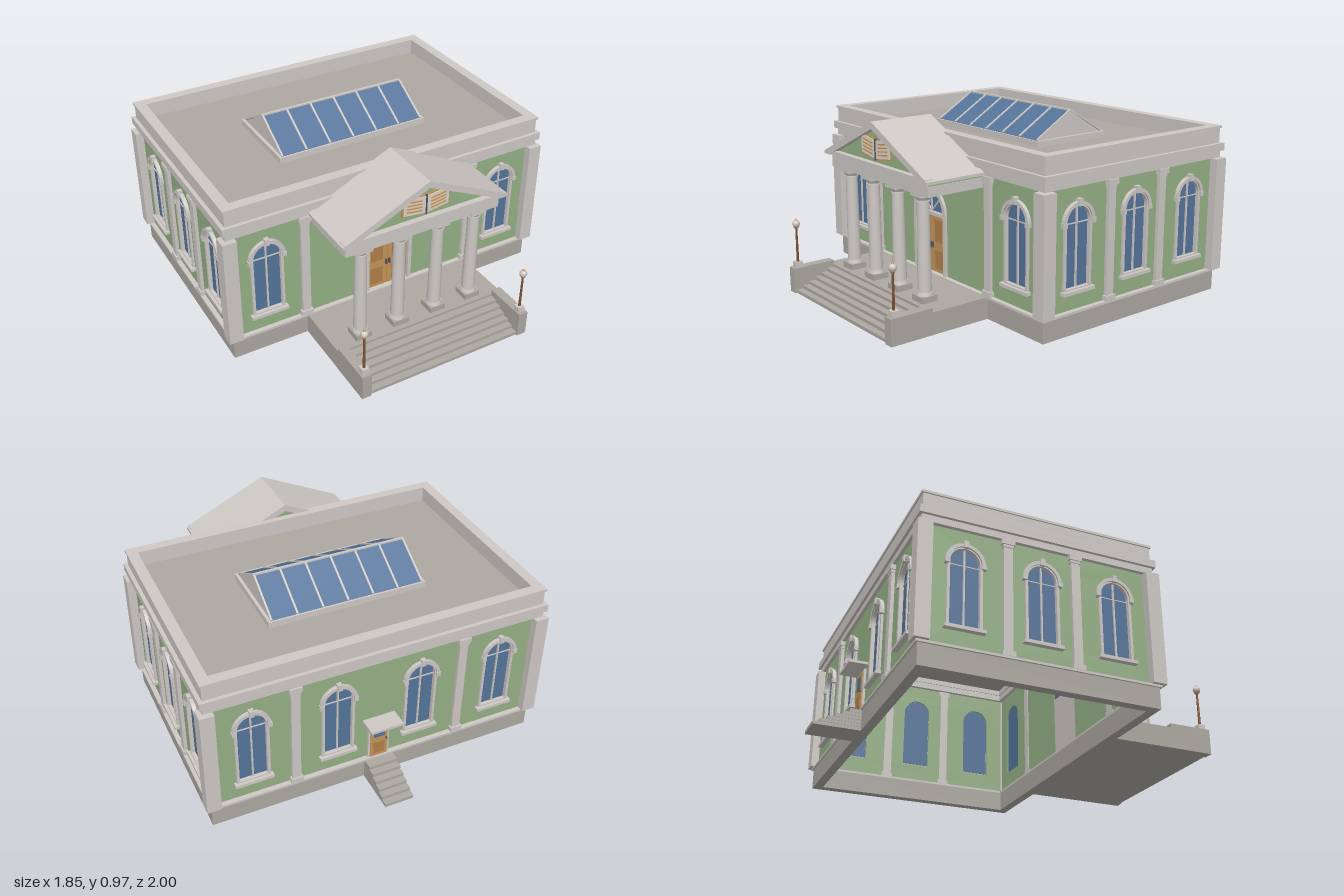
import * as THREE from 'three';

const mat = (name, color) => Object.assign(new THREE.MeshStandardMaterial({ color }), { name });

export function createModel() {
  const wall = mat('green wall', 0x95b086), trim = mat('pale stone trim', 0xcdc8c4), stone = mat('grey stone', 0xaca7a0);
  const glass = mat('blue glass', 0x55749a), wood = mat('door wood', 0xc4935a), panel = mat('door panel', 0xb07f48);
  const brown = mat('lamp post brown', 0x7d5030), gold = mat('gold accent', 0xcf8f45), metal = mat('dark metal', 0x55565a);
  const page = mat('page white', 0xd8d4ce);

  const root = new THREE.Group();
  root.name = 'library';
  const group = (name, parent = root) => {
    const g = new THREE.Group();
    g.name = name;
    parent.add(g);
    return g;
  };
  const add = (parent, name, geo, m, x = 0, y = 0, z = 0) => {
    const mesh = new THREE.Mesh(geo, m);
    mesh.name = name;
    mesh.position.set(x, y, z);
    parent.add(mesh);
    return mesh;
  };
  // box given by its extents
  const box = (p, name, m, x0, x1, y0, y1, z0, z1) =>
    add(p, name, new THREE.BoxGeometry(x1 - x0, y1 - y0, z1 - z0), m, (x0 + x1) / 2, (y0 + y1) / 2, (z0 + z1) / 2);
  const cyl = (p, name, m, rt, rb, y0, y1, x, z, n = 20) =>
    add(p, name, new THREE.CylinderGeometry(rt, rb, y1 - y0, n), m, x, (y0 + y1) / 2, z);
  const extrude = (p, name, m, shape, z0, z1) =>
    add(p, name, new THREE.ExtrudeGeometry(shape, { depth: z1 - z0, bevelEnabled: false, curveSegments: 16 }), m, 0, 0, z0);
  const poly = pts => new THREE.Shape(pts.map(([x, y]) => new THREE.Vector2(x, y)));
  const rect = (hx, hy) => poly([[-hx, -hy], [hx, -hy], [hx, hy], [-hx, hy]]);
  const arch = (hw, y0, spring, cx = 0) => {
    const s = new THREE.Shape();
    s.moveTo(cx - hw, y0);
    s.lineTo(cx + hw, y0);
    s.lineTo(cx + hw, spring);
    s.absarc(cx, spring, hw, 0, Math.PI, false);
    s.closePath();
    return s;
  };
  const archRing = (r1, r0, y) => {
    const s = new THREE.Shape();
    s.absarc(0, y, r1, 0, Math.PI, false);
    s.absarc(0, y, r0, Math.PI, 0, true);
    s.closePath();
    return s;
  };

  // main block, centred on its own origin
  const block = group('main block');
  block.position.z = -0.16;
  const ring = (name, m, hx, hz, t, y0, y1) => {
    const s = rect(hx, hz);
    s.holes.push(rect(hx - t, hz - t));
    const r = extrude(block, name, m, s, 0, y1 - y0);
    r.rotation.x = -Math.PI / 2;
    r.position.y = y0;
  };
  ring('foundation', stone, 0.895, 0.6, 0.05, 0, 0.108);
  ring('water table', trim, 0.905, 0.61, 0.06, 0.108, 0.12);
  ring('architrave', trim, 0.9, 0.603, 0.06, 0.72, 0.755);
  ring('cornice', trim, 0.915, 0.617, 0.08, 0.755, 0.795);
  ring('parapet', trim, 0.895, 0.598, 0.045, 0.795, 0.872);
  ring('parapet cap', trim, 0.902, 0.605, 0.056, 0.872, 0.885);
  box(block, 'roof deck', stone, -0.86, 0.86, 0.785, 0.8, -0.565, 0.565);
  for (const sx of [-1, 1]) for (const sz of [-1, 1])
    add(block, 'corner pier', new THREE.BoxGeometry(0.073, 0.597, 0.073), trim, sx * 0.887, 0.418, sz * 0.59);

  const SP = 0.55;
  const addWindow = (p, x) => {
    const w = group('arched window', p);
    w.position.x = x;
    extrude(w, 'window glass', glass, arch(0.076, 0.222, SP), -0.014, -0.008);
    const frame = arch(0.087, 0.215, SP);
    frame.holes.push(arch(0.073, 0.229, SP));
    extrude(w, 'window frame', trim, frame, -0.01, 0.012);
    extrude(w, 'window hood', trim, archRing(0.097, 0.08, SP), -0.005, 0.02);
    for (const s of [-1, 1]) box(w, 'hood impost', trim, s * 0.09 - 0.011, s * 0.09 + 0.011, SP - 0.018, SP + 0.006, 0, 0.023);
    box(w, 'keystone', trim, -0.012, 0.012, 0.625, 0.66, 0, 0.026);
    box(w, 'sill', trim, -0.1, 0.1, 0.205, 0.222, -0.005, 0.028);
    box(w, 'mullion', trim, -0.004, 0.004, 0.225, 0.625, -0.012, 0);
    box(w, 'transom', trim, -0.073, 0.073, SP - 0.012, SP - 0.007, -0.012, -0.003);
  };
  const addPilaster = (p, x) => {
    const g = group('pilaster', p);
    for (const [name, hw, y0, y1, d] of [['shaft', 0.023, 0.14, 0.69, 0.018], ['base', 0.032, 0.12, 0.145, 0.026],
      ['neck', 0.027, 0.68, 0.694, 0.022], ['capital', 0.033, 0.694, 0.72, 0.027]])
      box(g, 'pilaster ' + name, trim, x - hw, x + hw, y0, y1, -0.025, d);
  };
  // one wall with its windows and pilasters, outer face on local z = 0
  const facade = (name, half, dist, turn, windows, pilasters, doorway) => {
    const holder = group(name, block), f = group(name + ' face', holder);
    holder.rotation.y = turn;
    f.position.z = dist;
    const s = poly([[-half, 0.11], [half, 0.11], [half, 0.73], [-half, 0.73]]);
    windows.forEach(x => s.holes.push(arch(0.078, 0.215, SP, x)));
    if (doorway) s.holes.push(arch(0.12, 0.115, 0.445));
    extrude(f, 'wall', wall, s, -0.02, 0);
    windows.forEach(x => addWindow(f, x));
    pilasters.forEach(x => addPilaster(f, x));
    return f;
  };
  const front = facade('front wall', 0.88, 0.585, 0, [-0.69, 0.69], [-0.485, 0.485], true);
  const back = facade('back wall', 0.88, 0.585, Math.PI, [-0.67, -0.225, 0.225, 0.67], [-0.45, 0.45]);
  for (const s of [-1, 1]) facade(s > 0 ? 'left wall' : 'right wall', 0.585, 0.88, s * Math.PI / 2, [-0.385, 0, 0.385], [-0.175, 0.175]);

  // front double door with fanlight
  const door = group('front door', front);
  box(door, 'door backing', trim, -0.12, 0.12, 0.115, 0.44, -0.019, -0.014);
  extrude(door, 'fanlight glass', glass, arch(0.12, 0.444, 0.445), -0.014, -0.008);
  extrude(door, 'door arch', trim, archRing(0.138, 0.116, 0.445), -0.01, 0.015);
  box(door, 'door transom', trim, -0.12, 0.12, 0.428, 0.447, -0.014, 0.012);
  for (const a of [-1, 0, 1]) {
    const bar = box(door, 'fanlight bar', trim, -0.0035, 0.0035, 0, 0.117, -0.008, 0);
    bar.geometry.translate(0, 0.0585, 0);
    bar.position.y = 0.445;
    bar.rotation.z = a * Math.PI / 4;
  }
  for (const s of [-1, 1]) {
    box(door, 'door jamb', trim, s * 0.128 - 0.01, s * 0.128 + 0.01, 0.115, 0.445, -0.01, 0.015);
    box(door, 'door leaf', wood, s * 0.06 - 0.0585, s * 0.06 + 0.0585, 0.115, 0.428, -0.014, -0.004);
    for (const [y0, y1] of [[0.14, 0.24], [0.285, 0.405]])
      box(door, 'door panel', panel, s * 0.064 - 0.036, s * 0.064 + 0.036, y0, y1, -0.005, -0.001);
    box(door, 'door handle', metal, s * 0.01 - 0.004, s * 0.01 + 0.004, 0.25, 0.28, -0.004, 0.008);
  }

  // back door, hood and steps
  const rear = group('back door', back);
  box(rear, 'back door frame', trim, -0.058, 0.058, 0.115, 0.345, -0.005, 0.012);
  box(rear, 'back door leaf', wood, -0.047, 0.047, 0.118, 0.333, 0, 0.017);
  box(rear, 'back door glass', glass, -0.03, 0.03, 0.245, 0.315, 0.01, 0.02);
  box(rear, 'back door panel', panel, -0.03, 0.03, 0.14, 0.21, 0.01, 0.02);
  box(rear, 'back door knob', metal, 0.036, 0.042, 0.222, 0.232, 0.015, 0.027);
  box(rear, 'back door hood', trim, -0.088, 0.088, 0.355, 0.369, -0.01, 0.1);
  for (let i = 0; i < 6; i++)
    box(root, 'back step', stone, -0.078, 0.078, Math.max(0, 0.092 - i * 0.0185), 0.11 - i * 0.0185, -1 + (5 - i) * 0.036, -0.75);

  // skylight
  const sky = group('skylight', block);
  box(sky, 'skylight curb', trim, -0.43, 0.43, 0.8, 0.832, -0.233, 0.233);
  extrude(sky, 'skylight end', trim, poly([[-0.22, 0.83], [0.22, 0.83], [0, 0.96]]), -0.413, 0.413).rotation.y = Math.PI / 2;
  sky.children[1].position.set(-0.413, 0, 0);
  const run = Math.hypot(0.22, 0.13), tilt = Math.atan2(0.13, 0.22);
  for (const s of [-1, 1]) {
    const slope = group('skylight slope', sky);
    slope.position.set(0, 0.895, s * 0.11);
    slope.rotation.x = s * tilt;
    box(slope, 'skylight glass', glass, -0.413, 0.413, -0.002, 0.004, -run / 2, run / 2);
    for (let i = -3; i <= 3; i++)
      box(slope, 'skylight bar', trim, i * 0.137 - 0.005, i * 0.137 + 0.005, 0, 0.009, -run / 2, run / 2);
  }
  box(sky, 'skylight ridge', trim, -0.415, 0.415, 0.955, 0.968, -0.007, 0.007);

  // porch floor, steps and cheek walls
  const porch = group('porch');
  box(porch, 'porch floor', stone, -0.485, 0.485, 0, 0.113, 0.42, 0.77);
  for (let i = 0; i < 6; i++)
    box(porch, 'front step', stone, -0.435, 0.435, 0, 0.1 - i * 0.0165, 0.76, 0.81 + i * 0.036);
  for (const s of [-1, 1]) {
    box(porch, 'cheek wall', stone, s * 0.46 - 0.026, s * 0.46 + 0.026, 0, 0.135, 0.765, 1);
    // lamp
    const lamp = group('lamp', porch);
    lamp.position.set(s * 0.458, 0, 0.965);
    box(lamp, 'lamp foot', trim, -0.019, 0.019, 0.135, 0.165, -0.019, 0.019);
    cyl(lamp, 'lamp post', brown, 0.005, 0.007, 0.165, 0.35, 0, 0, 10);
    cyl(lamp, 'lamp collar', gold, 0.014, 0.008, 0.343, 0.353, 0, 0, 12);
    add(lamp, 'lamp globe', new THREE.SphereGeometry(0.02, 16, 12), trim, 0, 0.37, 0);
    cyl(lamp, 'lamp finial', gold, 0.003, 0.009, 0.386, 0.396, 0, 0, 10);
  }
  // columns
  for (const x of [-0.325, -0.11, 0.11, 0.325]) {
    const c = group('column', porch);
    box(c, 'column plinth', stone, x - 0.044, x + 0.044, 0.113, 0.143, 0.656, 0.744);
    cyl(c, 'column base', trim, 0.038, 0.042, 0.143, 0.16, x, 0.7);
    cyl(c, 'column shaft', trim, 0.03, 0.035, 0.16, 0.62, x, 0.7);
    cyl(c, 'column collar', trim, 0.034, 0.034, 0.607, 0.614, x, 0.7);
    cyl(c, 'column capital', trim, 0.042, 0.031, 0.618, 0.636, x, 0.7);
    box(c, 'column abacus', trim, x - 0.044, x + 0.044, 0.636, 0.655, 0.656, 0.744);
  }
  // pediment
  const ped = group('pediment', porch);
  box(ped, 'porch beam', trim, -0.435, 0.435, 0.653, 0.703, 0.42, 0.748);
  extrude(ped, 'gable body', wall, poly([[-0.43, 0.703], [0.43, 0.703], [0.43, 0.725], [0, 0.93], [-0.43, 0.725]]), 0.425, 0.742);
  box(ped, 'beam band', trim, -0.43, 0.43, 0.703, 0.725, 0.735, 0.748);
  box(ped, 'pediment cornice', trim, -0.455, 0.455, 0.722, 0.744, 0.735, 0.773);
  extrude(ped, 'pediment roof', trim, poly([[-0.465, 0.72], [-0.42, 0.72], [0, 0.915], [0.42, 0.72], [0.465, 0.72],
    [0.465, 0.735], [0, 0.952], [-0.465, 0.735]]), 0.42, 0.775);

  // open book ornament
  const book = group('open book', ped);
  for (const s of [-1, 1]) {
    const leaf = (x0, x1, yi, yo, h) => {
      const pts = [[s * x0, yi], [s * x1, yo], [s * x1, yo + h], [s * x0, yi + h]];
      return poly(s > 0 ? pts : pts.reverse());
    };
    extrude(book, 'book cover', gold, leaf(0, 0.133, 0.757, 0.775, 0.104), 0.74, 0.748);
    extrude(book, 'book page', page, leaf(0.004, 0.126, 0.764, 0.781, 0.092), 0.744, 0.753);
    for (let i = 0; i < 4; i++)
      extrude(book, 'page line', gold, leaf(0.025, 0.108, 0.783 + i * 0.018, 0.795 + i * 0.018, 0.006), 0.75, 0.756);
  }
  box(book, 'book spine', metal, -0.003, 0.003, 0.757, 0.865, 0.744, 0.757);
  return root;
}
